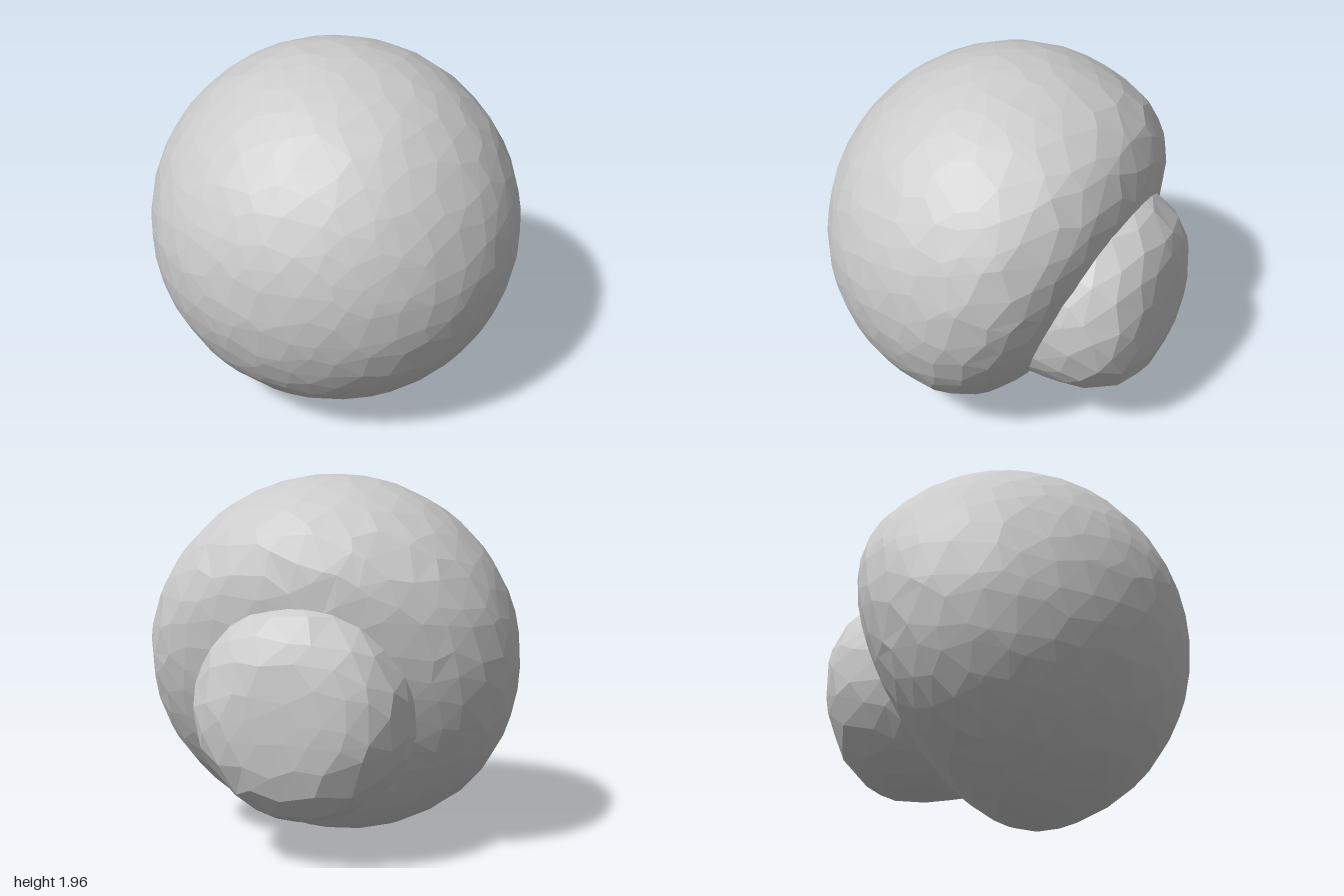
import * as THREE from 'three';

const material = new THREE.MeshStandardMaterial({ color: 0xcccccc, flatShading: true });

// Repeatable wobble in -0.5..0.5, equal for vertices that share a position
function wobble(v, seed) {
  const k = Math.round(v.x * 500) * 12.9898 + Math.round(v.y * 500) * 78.233 + Math.round(v.z * 500) * 37.719;
  const s = Math.sin(k + seed) * 43758.5453;
  return s - Math.floor(s) - 0.5;
}

// Faceted blob round the y axis: each half has its own depth and squareness
function makeBlob(name, detail, jitter, radius, top, bottom) {
  const geometry = new THREE.IcosahedronGeometry(1, detail);
  const pos = geometry.attributes.position;
  const v = new THREE.Vector3();
  for (let i = 0; i < pos.count; i++) {
    v.fromBufferAttribute(pos, i);
    const [a, b, c] = [1, 2, 3].map((seed) => wobble(v, seed) * jitter);
    v.set(v.x + a, v.y + b, v.z + c).normalize();
    const { depth, power } = v.y > 0 ? top : bottom;
    const side = Math.hypot(v.x, v.z) / radius;
    const r = (side ** power + (Math.abs(v.y) / depth) ** power) ** (-1 / power);
    v.multiplyScalar(r);
    pos.setXYZ(i, v.x, v.y, v.z);
  }
  geometry.computeVertexNormals();
  const mesh = new THREE.Mesh(geometry, material);
  mesh.name = name;
  return mesh;
}

// Turns the blob's y axis to a direction
function aim(mesh, x, y, z) {
  mesh.quaternion.setFromUnitVectors(new THREE.Vector3(0, 1, 0), new THREE.Vector3(x, y, z).normalize());
}

export function createModel() {
  const model = new THREE.Group();
  model.name = 'roundBodyWithBackLump';

  // Ball with a flattened side facing back and slightly down
  const body = makeBlob('body', 7, 0.09, 1, { depth: 0.64, power: 2.7 }, { depth: 0.96, power: 2 });
  aim(body, 0, -0.38, -0.925);
  body.scale.z = 0.985;
  body.position.set(0, 0.995, 0);
  model.add(body);

  // Rounded lump pushed into the flattened side
  const lump = makeBlob('backLump', 4, 0.12, 0.575, { depth: 0.57, power: 3.3 }, { depth: 0.4, power: 3 });
  aim(lump, 0, 0, -1);
  lump.position.set(0, 0.8, -0.395);
  model.add(lump);

  return model;
}
